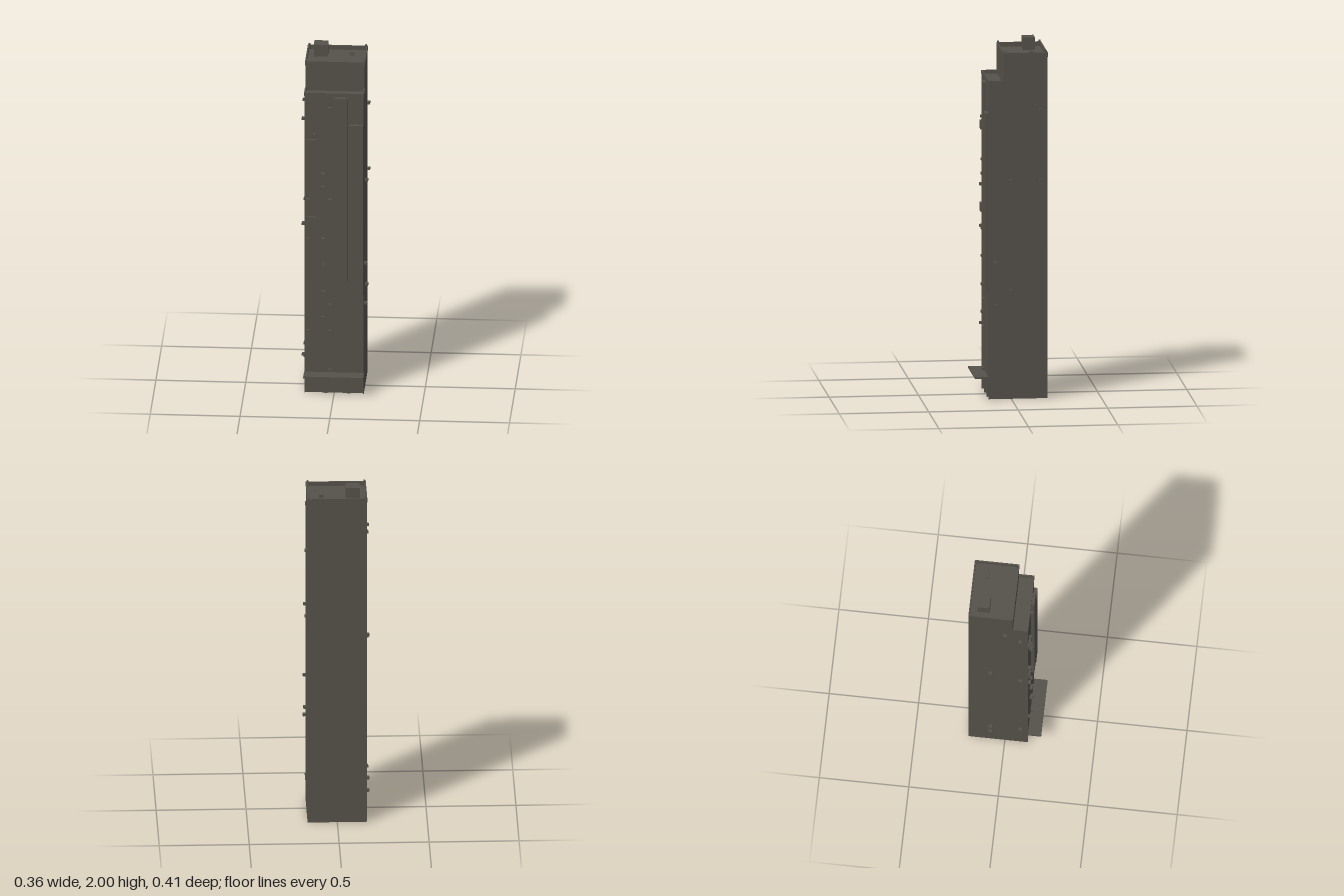
import * as THREE from 'three';

export function createModel() {
  const model = new THREE.Group();
  const concrete = new THREE.MeshStandardMaterial({ color: 0x56524b, side: THREE.DoubleSide });
  concrete.name = 'dark concrete';

  const add = (name, geometry, parent = model) => {
    const mesh = new THREE.Mesh(geometry, concrete);
    mesh.name = name;
    parent.add(mesh);
    return mesh;
  };
  // Box from min/max corners; open lists the sides left out (0 +x, 1 -x, 2 +y, 3 -y, 4 +z, 5 -z)
  const box = (name, x0, x1, y0, y1, z0, z1, parent = model, open = []) => {
    const g = new THREE.BoxGeometry(x1 - x0, y1 - y0, z1 - z0);
    const index = Array.from(g.index.array);
    g.setIndex(index.filter((_, i) => !open.includes(Math.floor(i / 6))));
    g.clearGroups();
    g.translate((x0 + x1) / 2, (y0 + y1) / 2, (z0 + z1) / 2);
    return add(name, g, parent);
  };
  const group = (name) => {
    const g = new THREE.Group();
    g.name = name;
    model.add(g);
    return g;
  };

  const W = 0.165, BACK = -0.202, FRONT = 0.128, STEP = 0.044;
  const TERRACE = 1.78, ROOF = 1.93;

  // Tower shell, open underneath, and the set-back top storeys
  box('towerWalls', -W, W, 0, TERRACE, BACK, FRONT, model, [3, 4]);
  box('upperStorey', -W, W, TERRACE, ROOF, BACK, STEP, model, [3]);

  // Front wall with notches for the shop openings
  const shops = [[-0.163, -0.053], [-0.037, 0.073], [0.09, 0.16]];
  const shopTop = 0.09;
  const wall = new THREE.Shape();
  wall.moveTo(-W, 0);
  for (const [a, b] of shops) {
    wall.lineTo(a, 0);
    wall.lineTo(a, shopTop);
    wall.lineTo(b, shopTop);
    wall.lineTo(b, 0);
  }
  wall.lineTo(W, 0);
  wall.lineTo(W, TERRACE);
  wall.lineTo(-W, TERRACE);
  add('frontWall', new THREE.ShapeGeometry(wall).translate(0, 0, FRONT));

  // Recessed shopfronts and the canopy above
  const shopfronts = group('shopfronts');
  for (const [a, b] of shops) box('shopfront', a, b, 0, shopTop, FRONT - 0.01, FRONT, shopfronts, [3, 4]);
  box('canopy', -0.167, 0.167, 0.116, 0.126, FRONT, 0.203);

  // Parapets around the roof and along the terrace
  const P = 0.167, T = 0.008;
  const parapet = group('roofParapet');
  for (const s of [-1, 1]) {
    const [a, b] = s < 0 ? [-P, -P + T] : [P - T, P];
    box('parapetSide', a, b, ROOF, 1.955, -0.204, 0.046, parapet);
    box('terraceParapetSide', a, b, TERRACE, 1.8, STEP, 0.13, parapet);
    // Corner posts
    for (const z of [-0.195, 0.036]) box('cornerPost', s * 0.158 - 0.005, s * 0.158 + 0.005, ROOF, 1.965, z - 0.005, z + 0.005, parapet);
  }
  box('parapetBack', -P + T, P - T, ROOF, 1.955, -0.204, -0.204 + T, parapet);
  box('parapetFront', -P + T, P - T, ROOF, 1.955, 0.046 - T, 0.046, parapet);
  box('terraceParapetFront', -P + T, P - T, TERRACE, 1.8, 0.13 - T, 0.13, parapet);

  // Rooftop machinery
  box('stairHousing', -0.127, -0.049, ROOF, 2.0, -0.157, -0.09);
  box('roofVent', 0.073, 0.098, ROOF, 1.95, -0.133, -0.113);

  // Tall vertical signboards on the front
  box('tallSignboard', 0.002, 0.077, 0.675, 1.775, FRONT, 0.147);
  box('sideSignboard', 0.087, 0.163, 0.6, 1.615, FRONT, 0.147);

  // Square balcony boxes
  for (const y of [1.475, 1.01]) box('balconyBox', -0.155, -0.1, y, y + 0.048, FRONT, 0.141);

  // Small air conditioners on the front: column x, then heights
  const units = group('airConditioners');
  const frontUnits = [
    [-0.024, [1.71, 1.16, 0.53, 0.375, 0.14]],
    [-0.063, [1.315, 1.235, 0.925, 0.77, 0.61, 0.455]],
    [-0.106, [1.55]],
    [-0.146, [1.16, 0.925, 0.375]],
  ];
  const H = 0.007, R = 0.01;
  for (const [x, heights] of frontUnits)
    for (const y of heights) box('frontAirConditioner', x - R, x + R, y - H, y + H, FRONT, 0.144, units);

  // Air conditioners on both sides: side, z, heights
  const sideUnits = [
    [1, -0.165, [1.63, 1.235]],
    [1, 0.004, [1.235, 0.61]],
    [1, 0.087, [0.77, 0.53]],
    [-1, -0.08, [1.08, 0.215, 0.14]],
    [-1, 0.004, [1.71]],
    [-1, 0.087, [1.63, 1.0, 0.215]],
  ];
  for (const [s, z, heights] of sideUnits)
    for (const y of heights)
      box('sideAirConditioner', s > 0 ? W : -0.182, s > 0 ? 0.182 : -W, y - H, y + H, z - R, z + R, units);

  return model;
}
